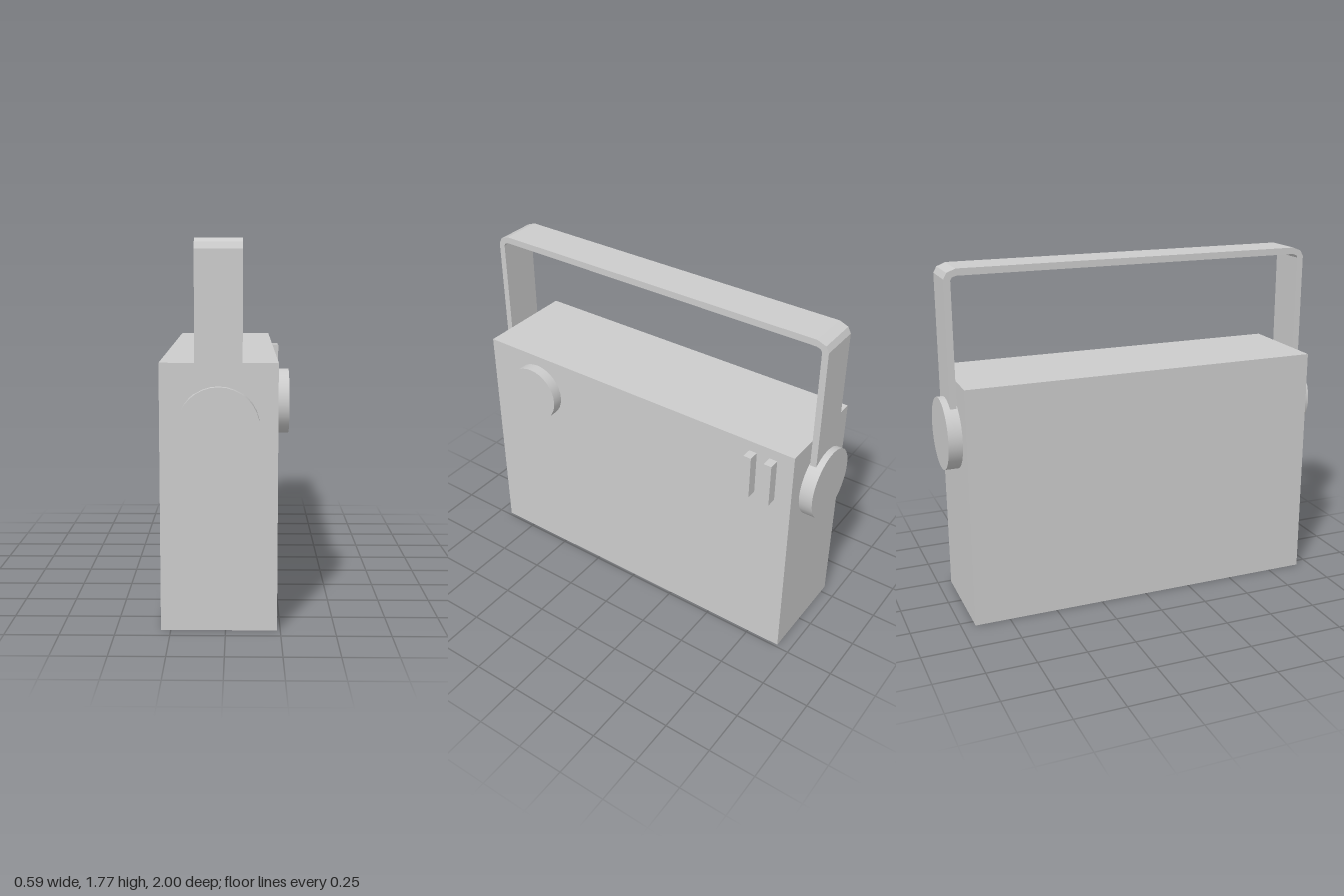
import * as THREE from 'three';

const material = new THREE.MeshStandardMaterial({ color: 0xcccccc });
const CENTER_X = -0.03;   // middle of the case
const SIDE_X = 0.235;     // case face that carries the controls

function add(group, name, geometry, x, y, z) {
  const mesh = new THREE.Mesh(geometry, material);
  mesh.name = name;
  mesh.position.set(x, y, z);
  group.add(mesh);
  return mesh;
}

// Flat strap bent into an arch, with faceted corners
function handleGeometry(width) {
  const outer = [[0.967, 0.98], [0.967, 1.722], [0.951, 1.752], [0.907, 1.77]];
  const inner = [[0.934, 0.98], [0.934, 1.715], [0.926, 1.729], [0.905, 1.736]];
  const arch = (half) => [...half, ...half.map(([z, y]) => [-z, y]).reverse()];
  const outline = [...arch(outer), ...arch(inner).reverse()];
  const shape = new THREE.Shape(outline.map(([z, y]) => new THREE.Vector2(z, y)));
  const geometry = new THREE.ExtrudeGeometry(shape, { depth: width, bevelEnabled: false });
  return geometry.translate(0, 0, -width / 2).rotateY(-Math.PI / 2);
}

export function createModel() {
  const group = new THREE.Group();
  group.name = 'portableRadio';

  // Case
  add(group, 'case', new THREE.BoxGeometry(0.53, 1.226, 1.86), CENTER_X, 0.613, 0);

  // Carrying handle and its round pivots at both ends
  add(group, 'handle', handleGeometry(0.212), CENTER_X, 0, 0);
  for (const [name, side] of [['frontPivot', 1], ['backPivot', -1]]) {
    const disc = new THREE.CylinderGeometry(0.183, 0.183, 0.07, 32).rotateX(Math.PI / 2);
    add(group, name, disc, CENTER_X, 0.943, side * 0.965);
  }

  // Tuning dial
  const dial = new THREE.CylinderGeometry(0.151, 0.151, 0.056, 32).rotateZ(Math.PI / 2);
  add(group, 'tuningDial', dial, SIDE_X + 0.028, 1.018, 0.62);

  // Two upright switches
  [-0.71, -0.82].forEach((z, i) => {
    add(group, `switch${i + 1}`, new THREE.BoxGeometry(0.054, 0.23, 0.041), SIDE_X + 0.027, 1.057, z);
  });

  return group;
}
